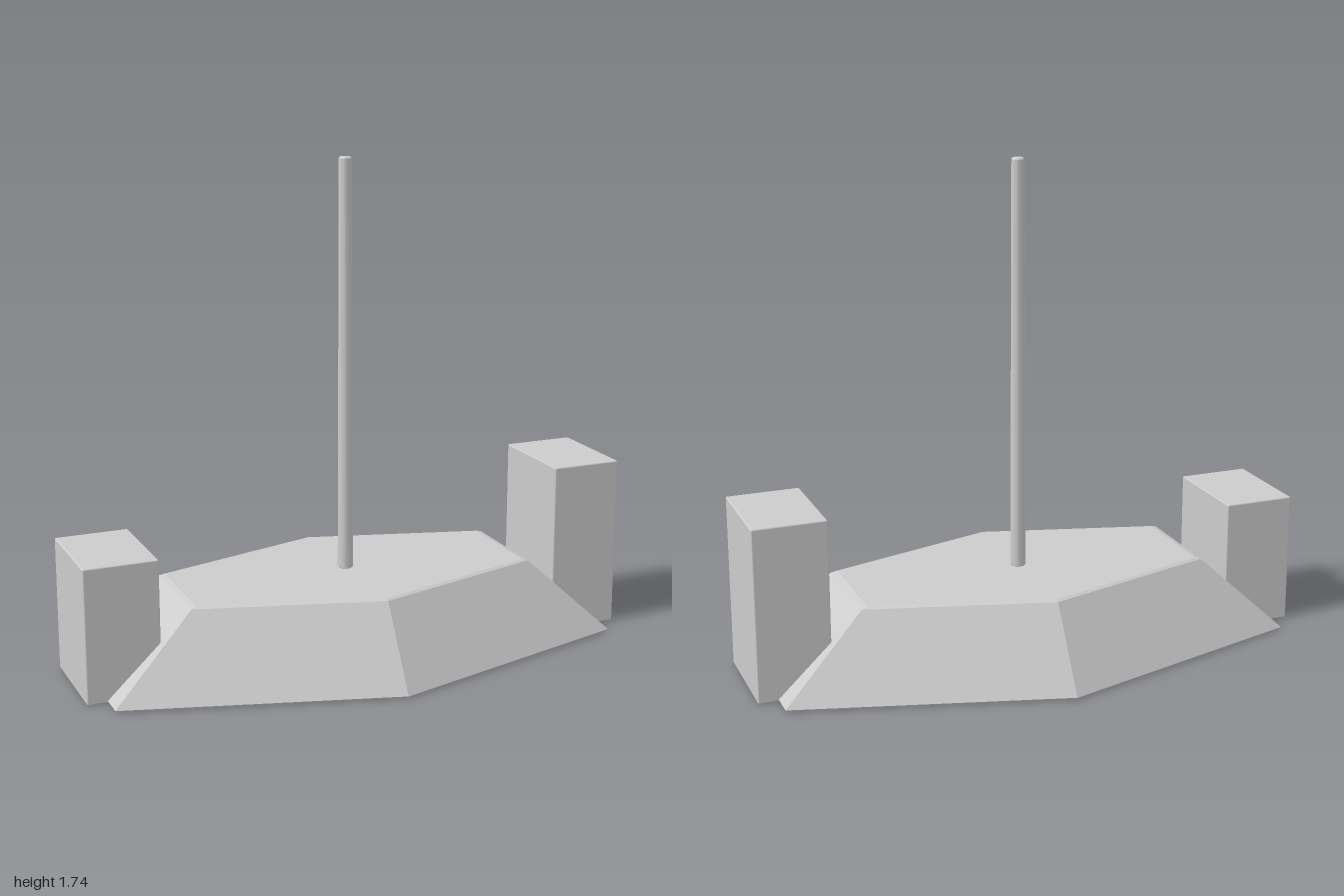
import * as THREE from 'three';
import { toCreasedNormals } from 'three/addons/utils/BufferGeometryUtils.js';
import { RoundedBoxGeometry } from 'three/addons/geometries/RoundedBoxGeometry.js';

const grey = new THREE.MeshStandardMaterial({ color: 0xcccccc });
grey.name = 'light grey';

// Turned solid from [radius, height] pairs, listed bottom to top
function turned(profile, sides, stretchX, crease) {
  const points = profile.map(([r, y]) => new THREE.Vector2(r, y));
  const geometry = new THREE.LatheGeometry(points, sides);
  geometry.scale(stretchX, 1, 1);
  return toCreasedNormals(geometry, crease);
}

export function createModel() {
  const model = new THREE.Group();
  model.name = 'model';

  function add(name, geometry, x = 0, y = 0) {
    const mesh = new THREE.Mesh(geometry, grey);
    mesh.name = name;
    mesh.position.set(x, y, 0);
    model.add(mesh);
  }

  // Stretched six-sided base with sloping sides and a narrow bevel round the deck
  add('base', turned([
    [0, 0], [0.532, 0], [0.537, 0.006], [0.367, 0.284], [0.355, 0.29], [0, 0.29],
  ], 6, 2, 0.05));

  // Tapered pole with softened ends
  add('pole', turned([
    [0, 0.285], [0.022, 0.285], [0.027, 0.292], [0.022, 1.735], [0.018, 1.74], [0, 1.74],
  ], 20, 1, 0.6));

  // End blocks, the left one taller
  for (const [name, side, height] of [['leftBlock', 1, 0.615], ['rightBlock', -1, 0.472]]) {
    add(name, new RoundedBoxGeometry(0.258, height, 0.36, 2, 0.005), side * 0.871, height / 2);
  }

  return model;
}
